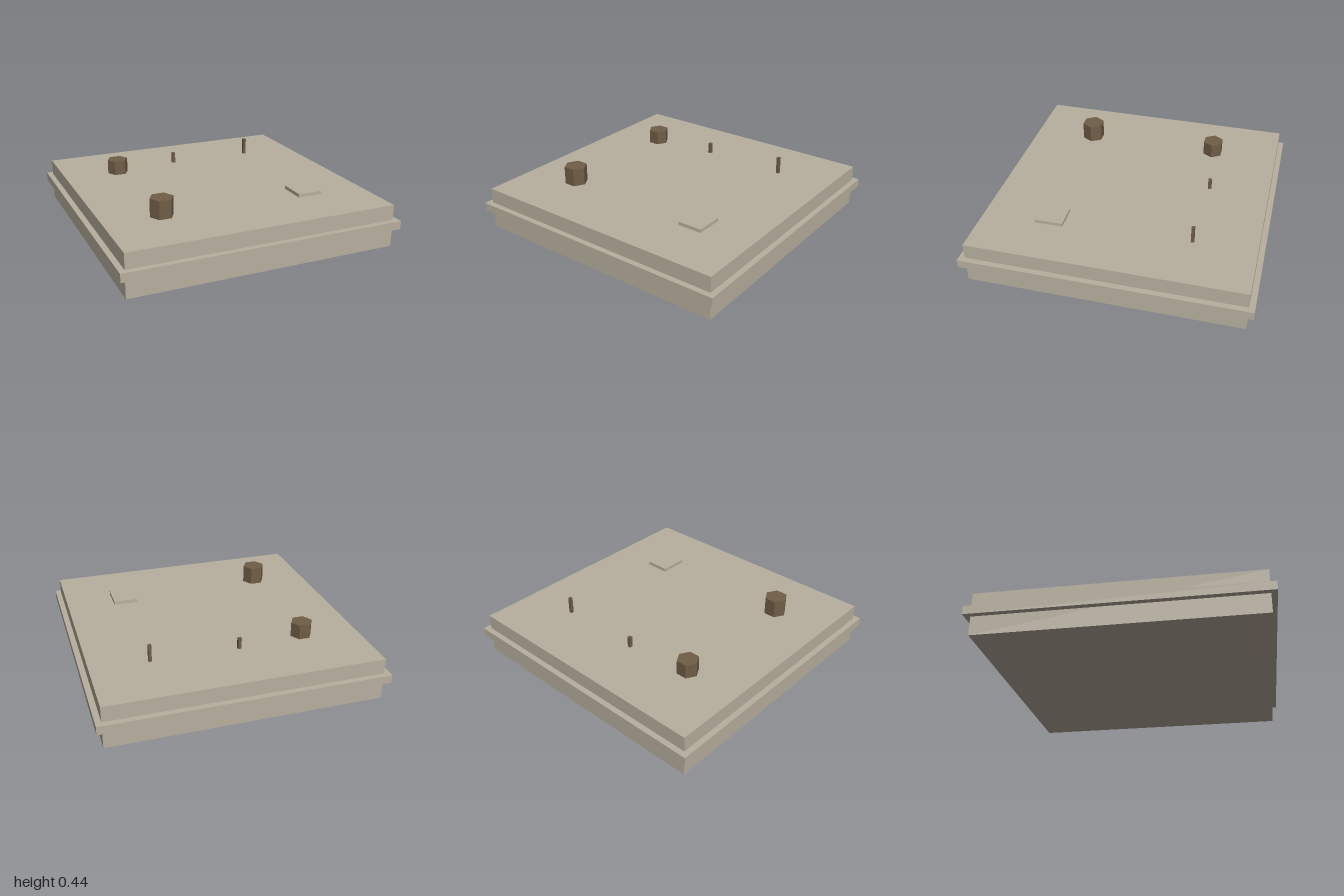
import * as THREE from 'three';

export function createModel() {
  const model = new THREE.Group();
  const stone = new THREE.MeshStandardMaterial({ color: 0xb8b09f });
  stone.name = 'pale stone';
  const wood = new THREE.MeshStandardMaterial({ color: 0x705d47, flatShading: true });
  wood.name = 'brown wood';

  const TOP = 0.305; // height of the slab's upper face

  // Add a mesh whose base rests at height y
  function add(name, geometry, material, x, y, z, height) {
    const mesh = new THREE.Mesh(geometry, material);
    mesh.name = name;
    mesh.position.set(x, y + height / 2, z);
    model.add(mesh);
    return mesh;
  }
  const box = (name, material, x, y, z, w, h, d) =>
    add(name, new THREE.BoxGeometry(w, h, d), material, x, y, z, h);

  // Square slab with a projecting band around its sides
  box('slab', stone, 0, 0, 0, 1.92, TOP, 1.92);
  box('band', stone, 0, 0.135, 0, 2, 0.06, 2);

  // Low rectangular plate on top
  box('plate', stone, 0.527, TOP, 0.478, 0.177, 0.025, 0.2);

  // Hexagonal stumps, corners pointing along x
  for (const [name, z, r, h] of [['backStump', -0.472, 0.077, 0.105], ['frontStump', 0.502, 0.083, 0.13]]) {
    const hex = new THREE.CylinderGeometry(r, r, h, 6);
    hex.rotateY(Math.PI / 6);
    add(name, hex, wood, -0.555, TOP, z, h);
  }

  // Thin square posts
  box('shortPost', wood, -0.075, TOP, -0.53, 0.024, 0.08, 0.024);
  box('tallPost', wood, 0.55, TOP, -0.52, 0.022, 0.125, 0.022);

  return model;
}
